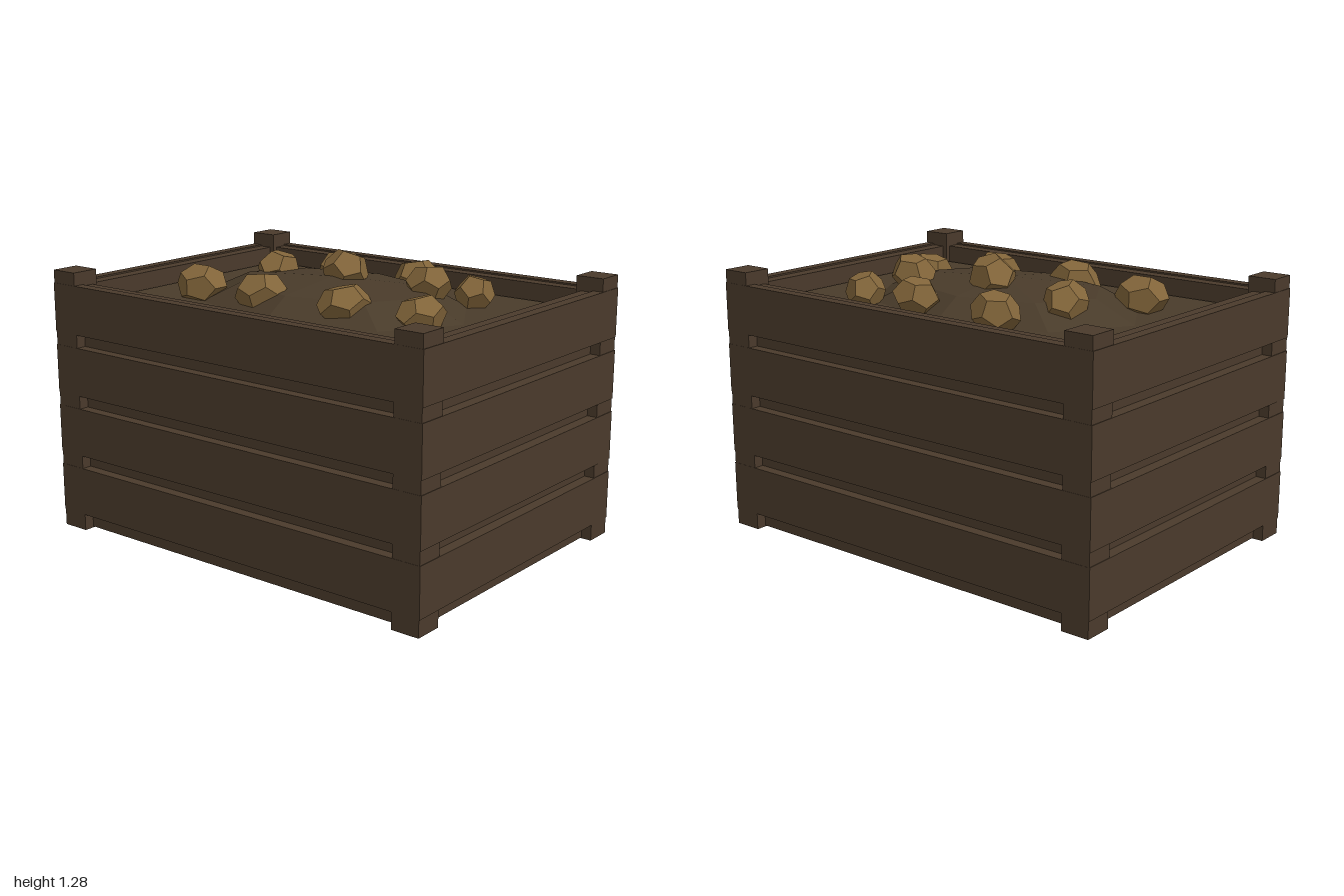
import * as THREE from 'three';

const mat = (name, color) => {
  const m = new THREE.MeshStandardMaterial({ color, flatShading: true });
  m.name = name;
  return m;
};

export function createModel() {
  const crate = new THREE.Group();
  crate.name = 'crate';
  const wood = mat('dark wood', 0x4a3a2b);
  const soil = mat('soil', 0x493b2a);
  const tuber = mat('tuber skin', 0x82653a);

  const add = (name, geometry, material, x = 0, y = 0, z = 0) => {
    const mesh = new THREE.Mesh(geometry, material);
    mesh.name = name;
    mesh.position.set(x, y, z);
    crate.add(mesh);
    return mesh;
  };
  const box = (name, w, h, d, x, y, z) => add(name, new THREE.BoxGeometry(w, h, d), wood, x, y, z);

  // Corner posts
  for (const sx of [-1, 1]) {
    for (const sz of [-1, 1]) box('cornerPost', 0.13, 1.19, 0.13, sx * 0.932, 0.595, sz * 0.662);
  }

  // Four rows of planks, on the long sides and on the ends
  for (let row = 0; row < 4; row++) {
    const y = 0.185 + row * 0.279;
    for (const s of [-1, 1]) {
      box('longPlank', 2, 0.22, 0.05, 0, y, s * 0.703);
      box('endPlank', 0.05, 0.22, 1.45, s * 0.975, y, 0);
    }
  }

  // Inner lining behind the gaps, and the floor
  for (const s of [-1, 1]) {
    box('longLining', 1.82, 1.12, 0.06, 0, 0.565, s * 0.65);
    box('endLining', 0.06, 1.12, 1.3, s * 0.92, 0.565, 0);
  }
  box('floor', 1.8, 0.06, 1.28, 0, 0.035, 0);

  // Soil bed, narrowing a little towards the top
  const bed = new THREE.BoxGeometry(1.79, 0.3, 1.25);
  const p = bed.attributes.position;
  for (let i = 0; i < p.count; i++) {
    if (p.getY(i) > 0) p.setXYZ(i, p.getX(i) * 0.975, p.getY(i), p.getZ(i) * 0.965);
  }
  bed.computeVertexNormals();
  add('soilBed', bed, soil, 0, 0.9, 0);

  // Faceted mound in the middle of the bed
  const mound = add('soilMound', new THREE.SphereGeometry(1, 8, 2, 0, Math.PI * 2, 0, Math.PI / 2), soil, 0, 1.048, 0);
  mound.scale.set(0.69, 0.125, 0.46);

  // Tubers: x, y, z, half length, half height, half width, yaw, tilt
  const tubers = [
    [-0.54, 1.11, 0.265, 0.125, 0.095, 0.105, 0, 0],
    [-0.16, 1.125, 0.3, 0.12, 0.095, 0.1, 0.25, 0.3],
    [0.27, 1.125, 0.265, 0.12, 0.09, 0.095, 0.95, 0.4],
    [0.575, 1.105, 0.145, 0.115, 0.085, 0.09, 1.25, 0.3],
    [-0.425, 1.135, -0.125, 0.125, 0.095, 0.1, -1.1, 0.25],
    [0, 1.18, -0.085, 0.135, 0.105, 0.105, -0.65, 0.2],
    [0.395, 1.16, -0.16, 0.112, 0.09, 0.1, -0.2, 0.4],
    [-0.27, 1.115, -0.395, 0.115, 0.095, 0.092, 0.1, 0.35],
    [0.16, 1.125, -0.4, 0.108, 0.09, 0.09, 0.6, 0.4],
    [0.5, 1.1, -0.36, 0.105, 0.09, 0.09, -0.9, 0.3],
  ];
  const lump = new THREE.DodecahedronGeometry(1);
  for (const [x, y, z, a, b, c, yaw, tilt] of tubers) {
    const mesh = add('tuber', lump, tuber, x, y, z);
    mesh.scale.set(a, b, c);
    mesh.rotation.set(tilt, yaw, tilt * 0.4, 'YXZ');
  }

  return crate;
}
